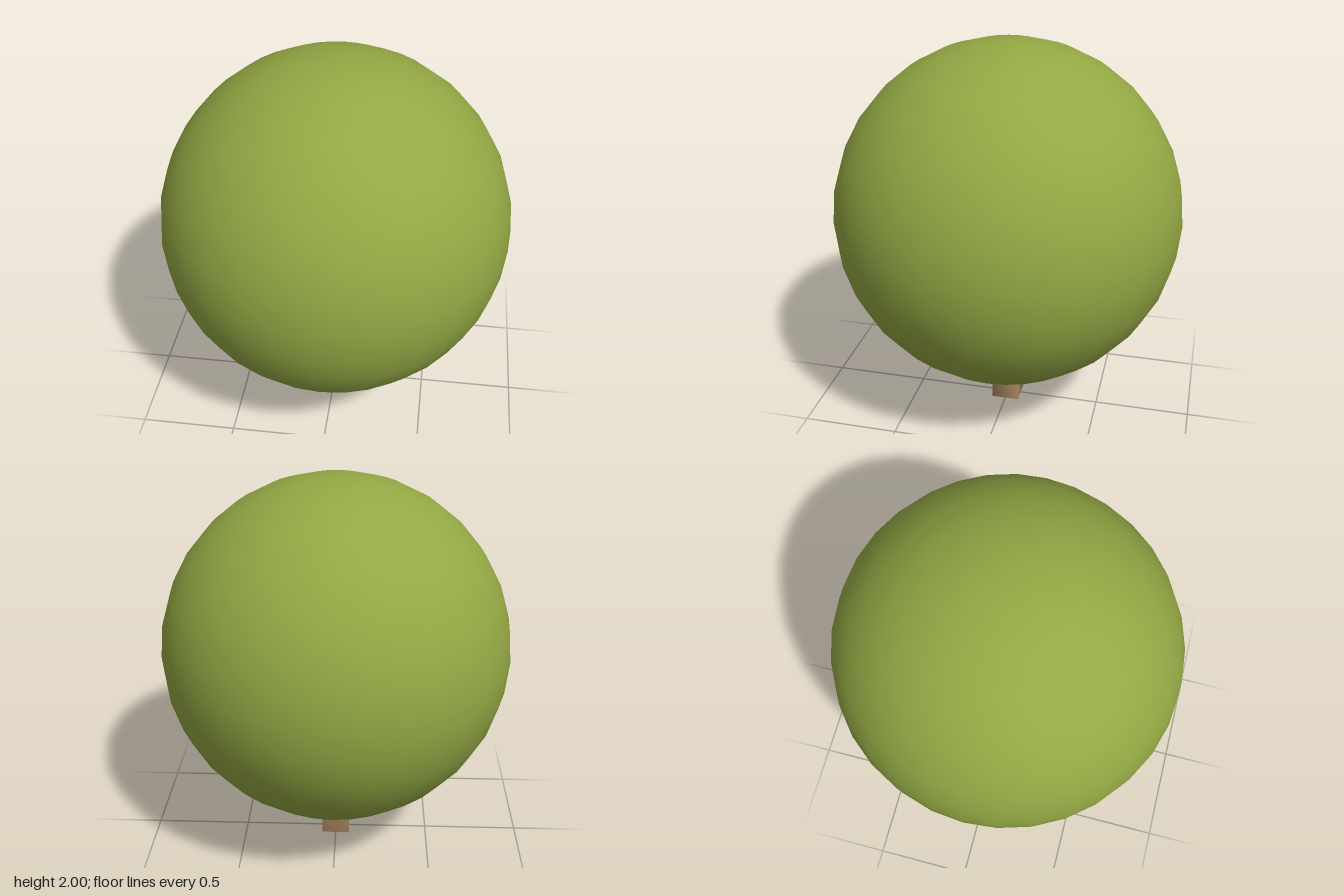
import * as THREE from 'three';
import { mergeVertices } from 'three/addons/utils/BufferGeometryUtils.js';

const RADIUS = 0.885;
const TRUNK_WIDTH = 0.146;
const TRUNK_HEIGHT = 0.5;

// Square post whose corners share softened normals
function softBox(width, height, depth) {
  const box = new THREE.BoxGeometry(width, height, depth);
  box.deleteAttribute('normal');
  box.deleteAttribute('uv');
  const geometry = mergeVertices(box);
  geometry.computeVertexNormals();
  return geometry;
}

function addPart(group, name, geometry, color, y) {
  const mesh = new THREE.Mesh(geometry, new THREE.MeshStandardMaterial({ color }));
  mesh.name = name;
  mesh.position.y = y;
  group.add(mesh);
}

export function createModel() {
  const tree = new THREE.Group();
  tree.name = 'tree';

  // Round crown of leaves
  addPart(tree, 'foliage', new THREE.SphereGeometry(RADIUS, 32, 16), 0x93a844, 2 - RADIUS);

  // Short square trunk running up into the crown
  addPart(tree, 'trunk', softBox(TRUNK_WIDTH, TRUNK_HEIGHT, TRUNK_WIDTH), 0xb08a62, TRUNK_HEIGHT / 2);

  return tree;
}
